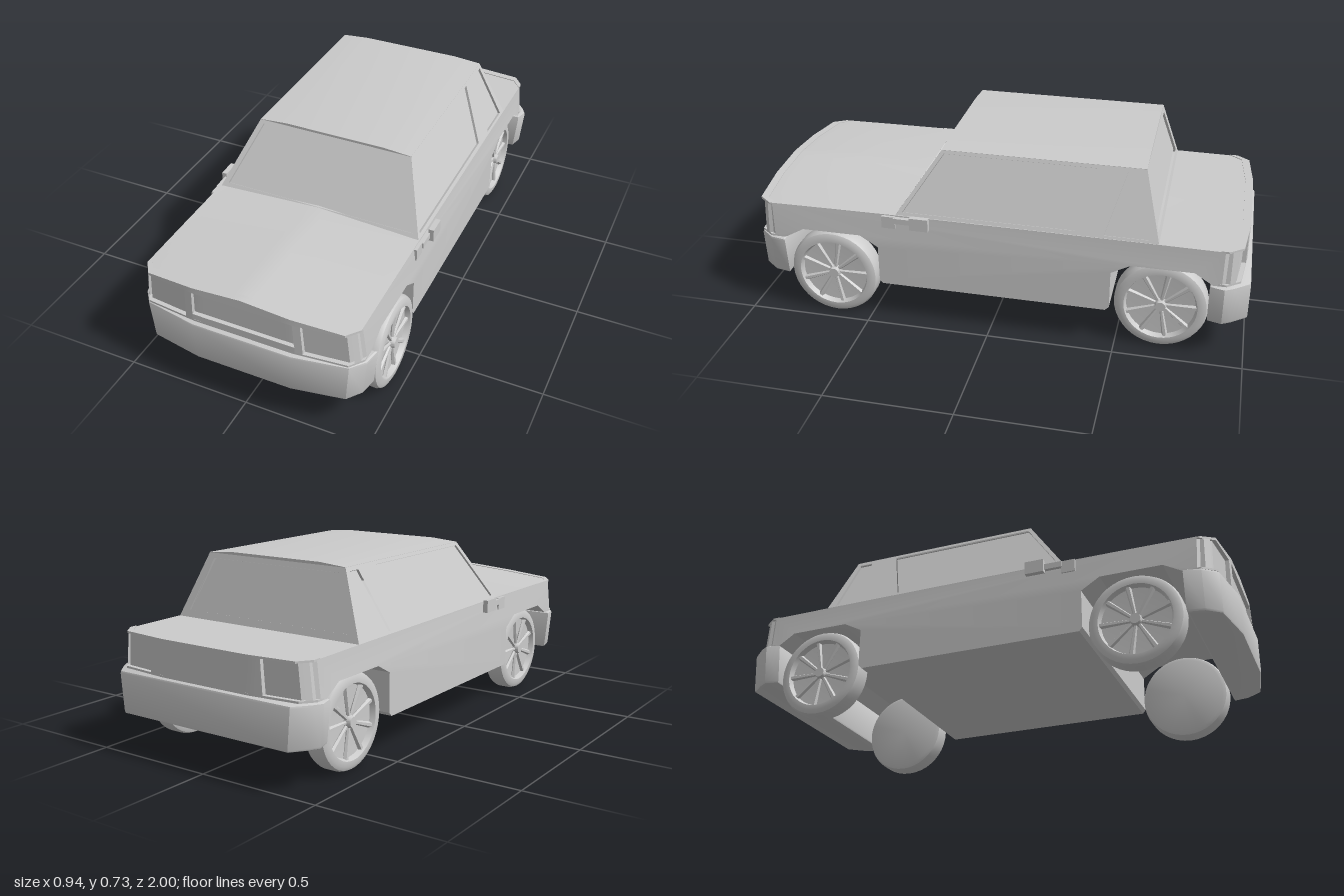
import * as THREE from 'three';
import { toCreasedNormals } from 'three/addons/utils/BufferGeometryUtils.js';

const V3 = (x, y, z) => new THREE.Vector3(x, y, z);
const shapeOf = (pts) => new THREE.Shape(pts.map(([a, b]) => new THREE.Vector2(a, b)));

export function createModel() {
  const car = new THREE.Group();
  car.name = 'car';
  const grey = new THREE.MeshStandardMaterial({ color: 0xcccccc });

  const add = (name, geo, parent = car) => {
    const mesh = new THREE.Mesh(toCreasedNormals(geo, 0.5), grey);
    mesh.name = name;
    parent.add(mesh);
    return mesh;
  };
  const box = (x0, x1, y0, y1, z0, z1, seg = 1) =>
    new THREE.BoxGeometry(x1 - x0, y1 - y0, z1 - z0, seg, 1, 1)
      .translate((x0 + x1) / 2, (y0 + y1) / 2, (z0 + z1) / 2);

  // Rule shared by body and end trim: rounded corners in plan, crowned bonnet, tucked belt line
  const bend = (geo) => {
    const p = geo.attributes.position;
    for (let i = 0; i < p.count; i++) {
      let x = p.getX(i), y = p.getY(i), z = p.getZ(i);
      const a = Math.abs(x);
      const drop = 0.1 * Math.max(0, a - 0.2) + 1.2 * Math.max(0, a - 0.4);
      if (Math.abs(z) > 0.9) z -= Math.sign(z) * drop;
      if (y > 0.456 && z > 0.36) {
        y += (0.014 + 0.016 * Math.min(1, (z - 0.36) / 0.3)) * (1 - a / 0.44);
      }
      x *= y > 0.4 ? 0.985 : 1.015;
      p.setXYZ(i, x, y, z);
    }
    return geo;
  };

  // Lower body: side profile (z, y) with open wheel arches, extruded across the car
  const profile = [
    [-0.475, 0.17], [-0.46, 0.155], [0.445, 0.155], [0.457, 0.17], [0.457, 0.32], [0.53, 0.365],
    [0.77, 0.365], [0.85, 0.32], [0.965, 0.32], [0.967, 0.46], [0.9, 0.463], [0.65, 0.465],
    [0.38, 0.466], [-0.64, 0.462], [-0.967, 0.46], [-0.965, 0.32], [-0.86, 0.32],
    [-0.79, 0.365], [-0.55, 0.365], [-0.475, 0.325],
  ];
  const body = new THREE.ExtrudeGeometry(shapeOf(profile), { depth: 0.88, steps: 22, bevelEnabled: false });
  body.rotateY(-Math.PI / 2).translate(0.44, 0, 0);
  add('body', bend(body));

  // Raised surrounds that leave grille and lamps recessed: [x0, x1, y0, y1]
  const surround = (name, bars, z0, z1) => {
    const g = new THREE.Group();
    g.name = name;
    for (const [x0, x1, y0, y1] of bars) {
      const seg = Math.max(1, Math.round((x1 - x0) / 0.04));
      add('trimBar', bend(box(x0, x1, y0, y1, z0, z1, seg)), g);
    }
    car.add(g);
  };
  const rails = [[-0.44, 0.44, 0.455, 0.463], [-0.44, 0.44, 0.32, 0.328]];
  surround('noseSurround', [...rails,
    [-0.235, -0.205, 0.328, 0.455], [0.205, 0.235, 0.328, 0.455],
    [-0.43, -0.415, 0.328, 0.455], [0.415, 0.43, 0.328, 0.455],
    [-0.205, 0.205, 0.328, 0.352]], 0.95, 0.982);
  surround('tailSurround', [...rails, [-0.26, 0.26, 0.328, 0.455],
    [-0.43, -0.415, 0.328, 0.455], [0.415, 0.43, 0.328, 0.455]], -0.982, -0.95);

  // Bumpers: half plan outline (x, z) mirrored and extruded upwards, wider at the top
  const bumper = (name, half, dir) => {
    const pts = [...half, ...half.map(([x, z]) => [-x, z]).reverse()];
    const geo = new THREE.ExtrudeGeometry(shapeOf(pts.map(([x, z]) => [x, -z * dir])), {
      depth: 0.145, bevelThickness: 0.01, bevelSize: 0.008, bevelOffset: -0.008, bevelSegments: 2,
    });
    geo.rotateX(-Math.PI / 2).translate(0, 0.165, 0);
    const p = geo.attributes.position;
    for (let i = 0; i < p.count; i++) p.setX(i, p.getX(i) * (0.965 + 0.035 * (p.getY(i) - 0.155) / 0.165));
    add(name, geo);
  };
  bumper('frontBumper', [[0.468, 0.845], [0.455, 0.91], [0.41, 0.965], [0.2, 1]], 1);
  bumper('rearBumper', [[0.455, 0.85], [0.47, 0.905], [0.45, 0.94], [0.4, 1]], -1);

  // Cabin: flat frames with window openings, and glass set slightly inside
  const sideX = (y) => 0.43 - (y - 0.465) * 0.42;
  const centre = V3(0, 0.55, -0.15);
  const panel = (name, outer, holes) => {
    const o = outer[0];
    const u = outer[1].clone().sub(o).normalize();
    const n = u.clone().cross(outer[2].clone().sub(o)).normalize();
    if (n.dot(o.clone().sub(centre)) < 0) n.negate();
    const v = n.clone().cross(u);
    const flat = (pts) => pts.map((q) => {
      const d = q.clone().sub(o);
      return [d.dot(u), d.dot(v)];
    });
    const place = (shape, depth, inset) => {
      const geo = new THREE.ExtrudeGeometry(shape, { depth, bevelEnabled: false });
      const at = o.clone().addScaledVector(n, -inset - depth);
      return geo.applyMatrix4(new THREE.Matrix4().makeBasis(u, v, n).setPosition(at));
    };
    const frame = shapeOf(flat(outer));
    frame.holes = holes.map((h) => shapeOf(flat(h)));
    add(name + 'Frame', place(frame, 0.014, 0));
    for (const h of holes) add(name + 'Glass', place(shapeOf(flat(h)), 0.006, 0.01));
  };

  // Side frames, outlines in (z, y)
  for (const [s, label] of [[1, 'left'], [-1, 'right']]) {
    const on = (pts) => pts.map(([z, y]) => V3(s * sideX(y), y, z));
    panel(label + 'Side',
      on([[0.385, 0.46], [-0.65, 0.46], [-0.58, 0.715], [0.215, 0.715]]),
      [on([[0.355, 0.478], [-0.328, 0.478], [-0.395, 0.703], [0.205, 0.703]]),
        on([[-0.44, 0.472], [-0.612, 0.472], [-0.565, 0.7], [-0.51, 0.7]])]);
  }
  // Windscreen and rear window, each a symmetric trapezium on a sloping plane
  const endPanel = (name, zAt, lo, hi, margin) => {
    const quad = (y0, y1, m) => [[-1, y0], [1, y0], [1, y1], [-1, y1]]
      .map(([s, y]) => V3(s * (sideX(y) - m), y, zAt(y)));
    panel(name, quad(0.46, 0.715, 0), [quad(lo, hi, margin)]);
  };
  endPanel('windscreen', (y) => 0.385 - (y - 0.46) * 0.667, 0.482, 0.703, 0.022);
  endPanel('rearWindow', (y) => -0.65 + (y - 0.46) * 0.275, 0.49, 0.695, 0.035);

  // Gently crowned roof
  const roof = new THREE.ExtrudeGeometry(
    shapeOf([[-0.325, 0.7], [0.325, 0.7], [0.325, 0.716], [0.21, 0.725], [-0.21, 0.725], [-0.325, 0.716]]),
    { depth: 0.795, bevelEnabled: false });
  add('roof', roof.translate(0, 0, -0.58));

  // Door mirrors
  for (const s of [1, -1]) {
    const g = new THREE.Group();
    g.name = s > 0 ? 'leftMirror' : 'rightMirror';
    const part = (name, x0, x1, ...r) =>
      add(name, box(Math.min(s * x0, s * x1), Math.max(s * x0, s * x1), ...r), g);
    part('mirrorHousing', 0.445, 0.466, 0.424, 0.476, 0.24, 0.315);
    part('mirrorStalk', 0.425, 0.452, 0.437, 0.46, 0.3, 0.385);
    part('mirrorBase', 0.42, 0.446, 0.412, 0.462, 0.38, 0.435);
    car.add(g);
  }

  // Wheels: lathed tyre with dished rim, spokes and hub; axis points outwards
  const tyre = new THREE.LatheGeometry([[0, 0], [0.162, 0], [0.176, 0.006], [0.182, 0.02], [0.182, 0.066],
    [0.176, 0.08], [0.162, 0.087], [0.142, 0.087], [0.134, 0.066], [0, 0.06]]
    .map(([r, h]) => new THREE.Vector2(r, h)), 40);
  const wheel = (name, x, z, s) => {
    const g = new THREE.Group();
    g.name = name;
    add('tyre', tyre.clone(), g);
    add('hub', new THREE.CylinderGeometry(0.02, 0.026, 0.026, 16).translate(0, 0.075, 0), g);
    for (let i = 0; i < 9; i++) {
      const spoke = new THREE.CylinderGeometry(0.012, 0.007, 0.12, 6).rotateZ(-Math.PI / 2);
      add('spoke', spoke.translate(0.08, 0.068, 0).rotateY((i / 9) * Math.PI * 2 + Math.PI / 2), g);
    }
    g.rotation.z = -s * Math.PI / 2;
    g.position.set(s * x, 0.182, z);
    car.add(g);
  };
  wheel('frontLeftWheel', 0.371, 0.65, 1);
  wheel('frontRightWheel', 0.334, 0.65, -1);
  wheel('rearLeftWheel', 0.334, -0.67, 1);
  wheel('rearRightWheel', 0.334, -0.67, -1);

  return car;
}
